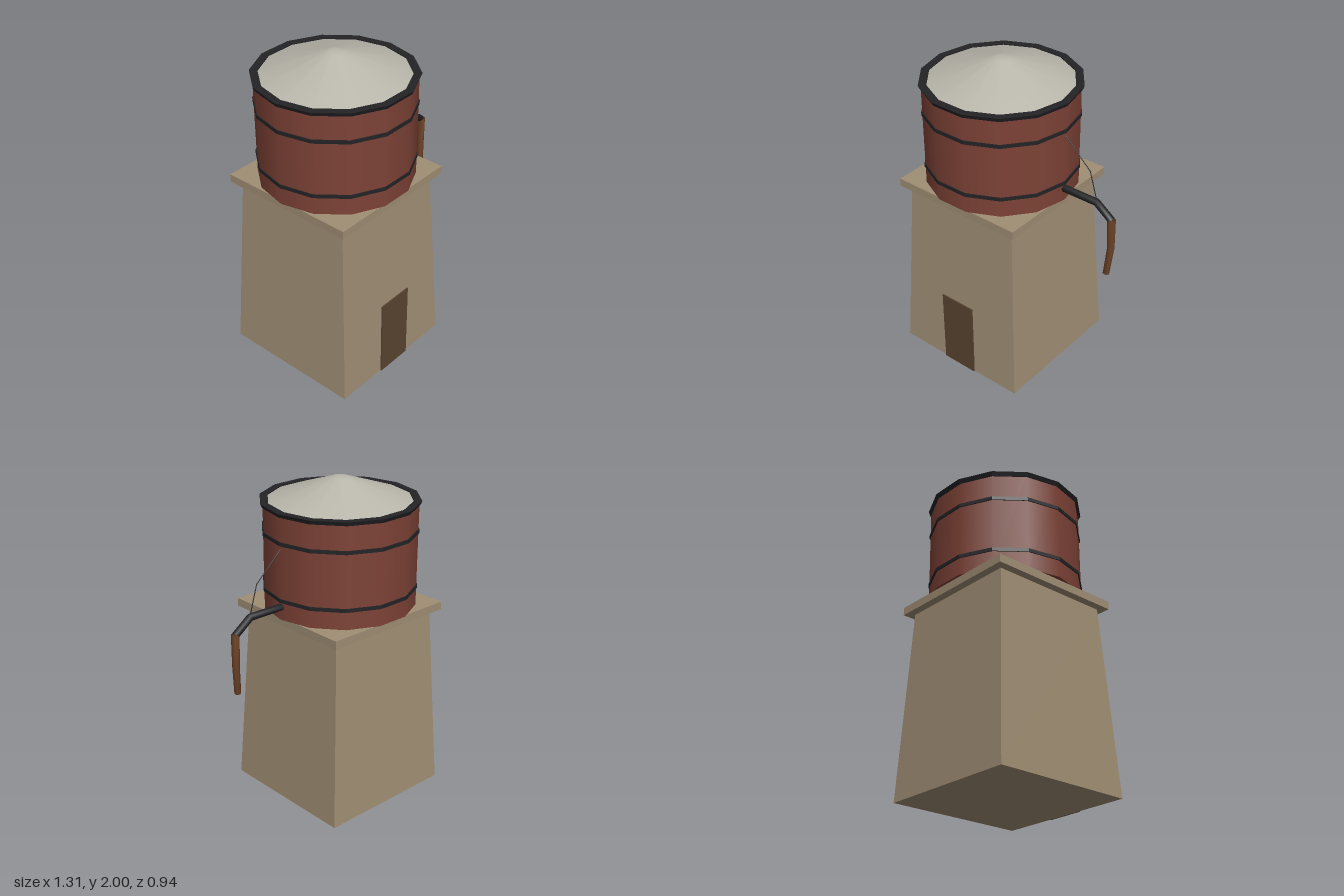
import * as THREE from 'three';

const SIDES = 14;
const stone = 0xa08e74, iron = 0x232326, red = 0x7d4236, roofGrey = 0xb9b6ab, doorBrown = 0x5a4431, hoseBrown = 0x6b4226;

const V = (x, y, z = 0) => new THREE.Vector3(x, y, z);

function part(name, geometry, color, flatShading = false) {
  const mesh = new THREE.Mesh(geometry, new THREE.MeshStandardMaterial({ color, flatShading }));
  mesh.name = name;
  return mesh;
}

// Turned shape with a corner pointing along +x
function turned(profile) {
  return new THREE.LatheGeometry(profile.map(([r, y]) => new THREE.Vector2(r, y)), SIDES, Math.PI / 2);
}

// Hoop with a rectangular section
function hoop(inner, outerLow, outerHigh, y0, y1) {
  return turned([[inner, y0], [outerLow, y0], [outerHigh, y1], [inner, y1], [inner, y0]]);
}

// Round bar along a bent line, mitred at the bends and capped at the ends
function bentBar(points, radii, sides) {
  const pos = [], index = [], last = points.length - 1;
  points.forEach((p, i) => {
    const a = points[i].clone().sub(points[Math.max(i - 1, 0)]).normalize();
    const b = points[Math.min(i + 1, last)].clone().sub(p).normalize();
    const dir = a.clone().add(b).normalize();
    const mitre = i > 0 && i < last ? 1 / dir.dot(a) : 1;
    const side = V(0, 0, 1);
    side.addScaledVector(dir, -side.dot(dir)).normalize();
    const up = side.clone().cross(dir);
    for (let k = 0; k < sides; k++) {
      const t = (k / sides) * Math.PI * 2;
      const q = p.clone()
        .addScaledVector(side, Math.cos(t) * radii[i])
        .addScaledVector(up, Math.sin(t) * radii[i] * mitre);
      pos.push(q.x, q.y, q.z);
      if (i < last) {
        const n = (k + 1) % sides, r = i * sides, s = r + sides;
        index.push(r + k, s + k, r + n, r + n, s + k, s + n);
      }
    }
  });
  for (let k = 1; k < sides - 1; k++) {
    const e = last * sides;
    index.push(0, k, k + 1, e, e + k + 1, e + k);
  }
  const g = new THREE.BufferGeometry();
  g.setAttribute('position', new THREE.Float32BufferAttribute(pos, 3));
  g.setIndex(index);
  g.computeVertexNormals();
  return g;
}

export function createModel() {
  const model = new THREE.Group();
  model.name = 'waterTower';

  // Tower, tank and roof share one axis
  const tower = new THREE.Group();
  tower.name = 'tower';
  tower.position.x = -0.175;
  model.add(tower);

  // Tapered square base
  const base = part('base', new THREE.CylinderGeometry(0.388 * Math.SQRT2, 0.45 * Math.SQRT2, 1.18, 4), stone, true);
  base.rotation.y = Math.PI / 4;
  base.position.y = 0.59;
  tower.add(base);

  const platform = part('platform', new THREE.BoxGeometry(0.876, 0.05, 0.876), stone);
  platform.position.y = 1.2;
  tower.add(platform);

  const door = part('door', new THREE.BoxGeometry(0.24, 0.508, 0.008), doorBrown);
  door.position.set(0.004, 0.254, 0.455);
  tower.add(door);

  // Round tank with iron hoops
  const tank = part('tank', new THREE.CylinderGeometry(0.464, 0.464, 0.635, SIDES, 1, false, Math.PI / 2), red);
  tank.position.y = 1.5435;
  tower.add(tank);
  for (const y of [1.345, 1.69]) {
    tower.add(part('tankBand', hoop(0.455, 0.47, 0.47, y - 0.011, y + 0.011), iron, true));
  }
  tower.add(part('rim', hoop(0.432, 0.468, 0.48, 1.845, 1.87), iron, true));

  // Shallow roof with a blunt peak
  tower.add(part('roof', turned([[0.445, 1.86], [0.055, 1.995], [0.025, 2], [0, 2]]), roofGrey));

  // Spout, hanging hose and pull wire
  model.add(part('spout', bentBar([V(0.27, 1.307), V(0.517, 1.307), V(0.625, 1.228)], [0.022, 0.022, 0.022], 8), iron));
  model.add(part('hose', bentBar(
    [V(0.626, 1.232, 0.002), V(0.63, 1.035, 0), V(0.615, 0.855, 0.012)], [0.025, 0.022, 0.02], 8), hoseBrown));
  model.add(part('wire', bentBar(
    [V(0.28, 1.664), V(0.465, 1.493), V(0.517, 1.318)], [0.003, 0.003, 0.003], 5), iron));

  return model;
}
